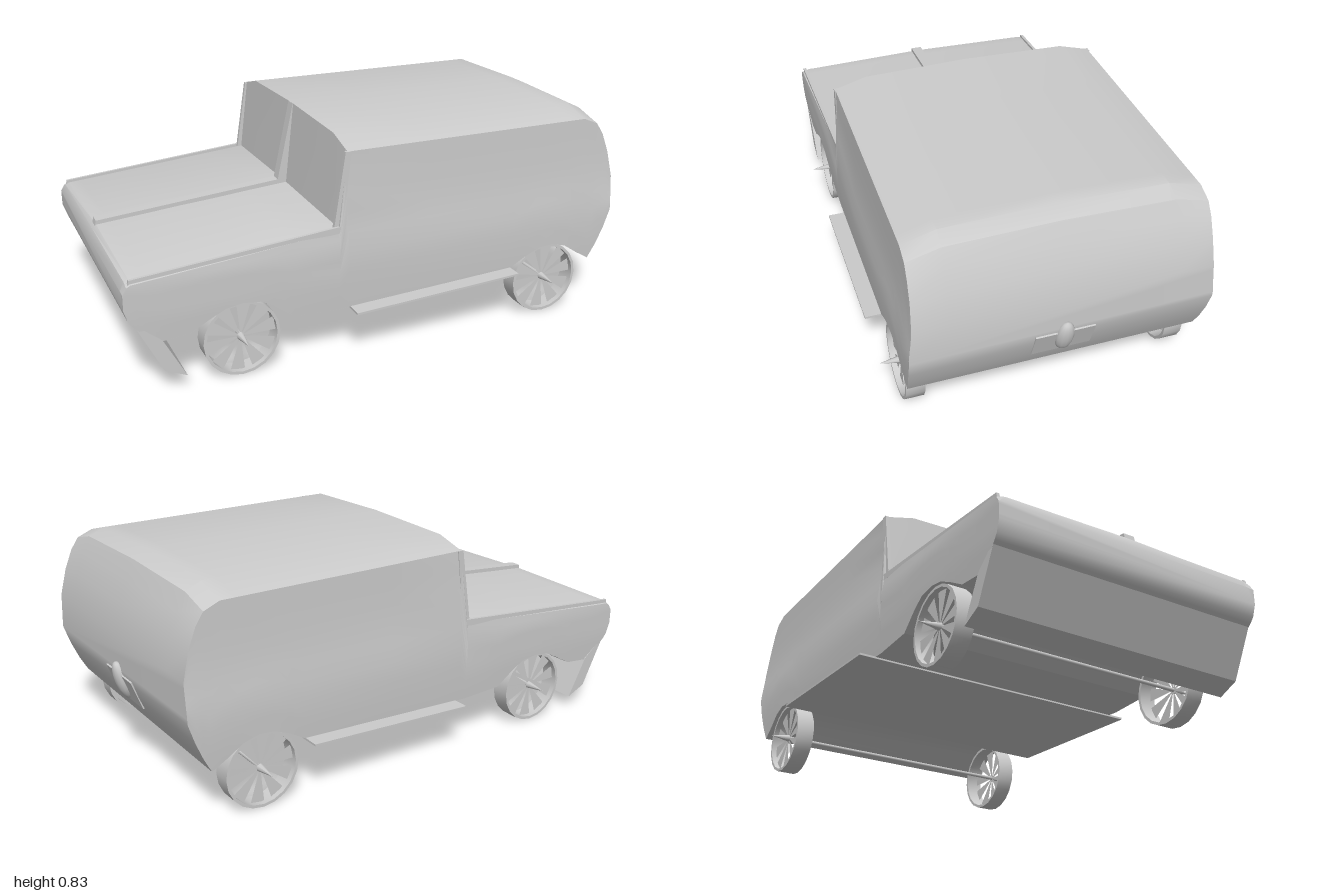
import * as THREE from 'three';
import { toCreasedNormals } from 'three/addons/utils/BufferGeometryUtils.js';

const grey = new THREE.MeshStandardMaterial({ color: 0xcccccc });
const thin = new THREE.MeshStandardMaterial({ color: 0xcccccc, side: THREE.DoubleSide });

function add(parent, name, geometry, material = grey) {
  const mesh = new THREE.Mesh(geometry, material);
  mesh.name = name;
  parent.add(mesh);
  return mesh;
}

// Side-view polygon extruded across the car, centred on z
function prism(points, width) {
  const shape = new THREE.Shape(points.map(([x, y]) => new THREE.Vector2(x, y)));
  return new THREE.ExtrudeGeometry(shape, { depth: width, bevelEnabled: false }).translate(0, 0, -width / 2);
}

// Half width of the body at a given height
const WIDTHS = [[0.18, 0.545], [0.3, 0.553], [0.42, 0.555], [0.52, 0.543], [0.62, 0.537], [0.85, 0.533]];
function halfWidth(y) {
  for (let i = 1; i < WIDTHS.length; i++) {
    const [y0, w0] = WIDTHS[i - 1], [y1, w1] = WIDTHS[i];
    if (y <= y1) return w0 + (w1 - w0) * Math.max(0, (y - y0) / (y1 - y0));
  }
  return WIDTHS[WIDTHS.length - 1][1];
}

// Stations along the body: x, sill height, shoulder height, height inboard of the shoulder, centre height
const STATIONS = [
  [-1.0, 0.34, 0.40, 0.403, 0.405],
  [-0.985, 0.295, 0.425, 0.435, 0.44],
  [-0.97, 0.275, 0.433, 0.443, 0.455],
  [-0.92, 0.225, 0.437, 0.447, 0.459],
  [-0.87, 0.2, 0.441, 0.451, 0.463],
  [-0.77, 0.21, 0.45, 0.46, 0.471],
  [-0.7, 0.25, 0.456, 0.466, 0.477],
  [-0.64, 0.28, 0.461, 0.471, 0.482],
  [-0.58, 0.29, 0.466, 0.476, 0.486],
  [-0.51, 0.282, 0.472, 0.482, 0.491],
  [-0.46, 0.255, 0.477, 0.487, 0.495],
  [-0.38, 0.195, 0.484, 0.494, 0.502],
  [-0.205, 0.187, 0.5, 0.508, 0.515],
  [-0.17, 0.189, 0.79, 0.825, 0.835],
  [0.15, 0.203, 0.79, 0.825, 0.835],
  [0.53, 0.221, 0.79, 0.825, 0.835],
  [0.6, 0.262, 0.79, 0.825, 0.835],
  [0.66, 0.287, 0.79, 0.825, 0.835],
  [0.72, 0.292, 0.79, 0.825, 0.835],
  [0.78, 0.275, 0.79, 0.825, 0.835],
  [0.84, 0.235, 0.79, 0.825, 0.835],
  [0.9, 0.2, 0.765, 0.798, 0.808],
  [0.93, 0.255, 0.72, 0.735, 0.738],
  [0.96, 0.325, 0.645, 0.65, 0.652],
  [0.985, 0.4, 0.54, 0.542, 0.543],
];

function bodyGeometry() {
  const SIDE = 8;
  const rings = STATIONS.map(([x, sill, shoulder, inner, centre]) => {
    const half = [];
    for (let k = 0; k <= SIDE; k++) {
      const y = sill + (shoulder - sill) * k / SIDE;
      half.push([halfWidth(y), y]);
    }
    half.push([x < -0.19 ? 0.52 : 0.41, inner]);
    const mirrored = half.map(([z, y]) => [-z, y]).reverse();
    return [...half, [0, centre], ...mirrored].map(([z, y]) => [x, y, z]);
  });
  const n = rings[0].length, index = [];
  for (let i = 0; i < rings.length - 1; i++) {
    for (let j = 0; j < n; j++) {
      const p = i * n + j, q = i * n + (j + 1) % n;
      index.push(p, p + n, q, p + n, q + n, q);
    }
  }
  const last = (rings.length - 1) * n;
  for (let k = 1; k < n - 1; k++) {
    index.push(0, k, k + 1);
    index.push(last, last + k + 1, last + k);
  }
  const geometry = new THREE.BufferGeometry();
  geometry.setAttribute('position', new THREE.Float32BufferAttribute(rings.flat(2), 3));
  geometry.setIndex(index);
  return toCreasedNormals(geometry, 0.45);
}

function createWheel() {
  const wheel = new THREE.Group();
  const section = [[0.134, -0.036], [0.145, -0.036], [0.145, 0.036], [0.134, 0.036], [0.134, -0.036]];
  const tyre = new THREE.LatheGeometry(section.map(([r, h]) => new THREE.Vector2(r, h)), 20);
  add(wheel, 'tyre', toCreasedNormals(tyre.rotateX(Math.PI / 2), 0.6), thin);
  // Flat wedge spokes with open gaps between
  const step = Math.PI / 5;
  for (let i = 0; i < 10; i++) {
    add(wheel, 'spoke', new THREE.CircleGeometry(0.136, 3, i * step, step * 0.65).translate(0, 0, 0.015), thin);
  }
  add(wheel, 'hub', new THREE.ConeGeometry(0.015, 0.085, 8).rotateX(Math.PI / 2).translate(0, 0, 0.057));
  return wheel;
}

export function createModel() {
  const car = new THREE.Group();
  car.name = 'car';
  add(car, 'body', bodyGeometry());

  // Raised strip along the bonnet and the post dividing the windscreen
  add(car, 'bonnetRidge', prism([[-0.98, 0.43], [-0.2, 0.5], [-0.2, 0.53], [-0.24, 0.53], [-0.97, 0.47]], 0.045));
  add(car, 'windscreenPost', prism([[-0.24, 0.53], [-0.19, 0.5], [-0.15, 0.8], [-0.15, 0.834], [-0.172, 0.834]], 0.045));

  // Windscreen side frames and bonnet edges
  for (const side of [1, -1]) {
    const frame = add(car, 'windscreenFrame',
      prism([[-0.225, 0.49], [-0.19, 0.49], [-0.155, 0.79], [-0.178, 0.79]], 0.016));
    frame.position.z = side * 0.53;
    const edge = add(car, 'bonnetEdge',
      prism([[-0.98, 0.42], [-0.2, 0.49], [-0.2, 0.515], [-0.975, 0.448]], 0.012));
    edge.position.z = side * 0.541;
  }

  // Front apron and sloping running board plate
  add(car, 'frontApron', prism([[-0.97, 0.285], [-0.87, 0.085], [-0.79, 0.05], [-0.872, 0.205]], 1.1));
  add(car, 'runningBoard', prism([[-0.16, 0.183], [0.53, 0.215], [0.53, 0.223], [-0.16, 0.191]], 1.22));

  // Low moulding on the tail
  const plate = add(car, 'tailMoulding', new THREE.BoxGeometry(0.02, 0.12, 0.22));
  plate.position.set(0.957, 0.335, 0);
  plate.rotation.z = -0.36;
  const handle = add(car, 'tailHandle', new THREE.SphereGeometry(1, 12, 8));
  handle.scale.set(0.028, 0.08, 0.035);
  handle.position.set(0.972, 0.36, 0);
  handle.rotation.z = -0.3;

  // Axles and wheels
  for (const [x, label] of [[-0.58, 'front'], [0.7, 'rear']]) {
    const axle = add(car, label + 'Axle', new THREE.CylinderGeometry(0.008, 0.008, 1.08, 8).rotateX(Math.PI / 2));
    axle.position.set(x, 0.147, 0);
    for (const side of [1, -1]) {
      const wheel = createWheel();
      wheel.name = label + 'Wheel';
      wheel.position.set(x, 0.145, side * 0.503);
      if (side < 0) wheel.rotation.y = Math.PI;
      car.add(wheel);
    }
  }
  return car;
}
